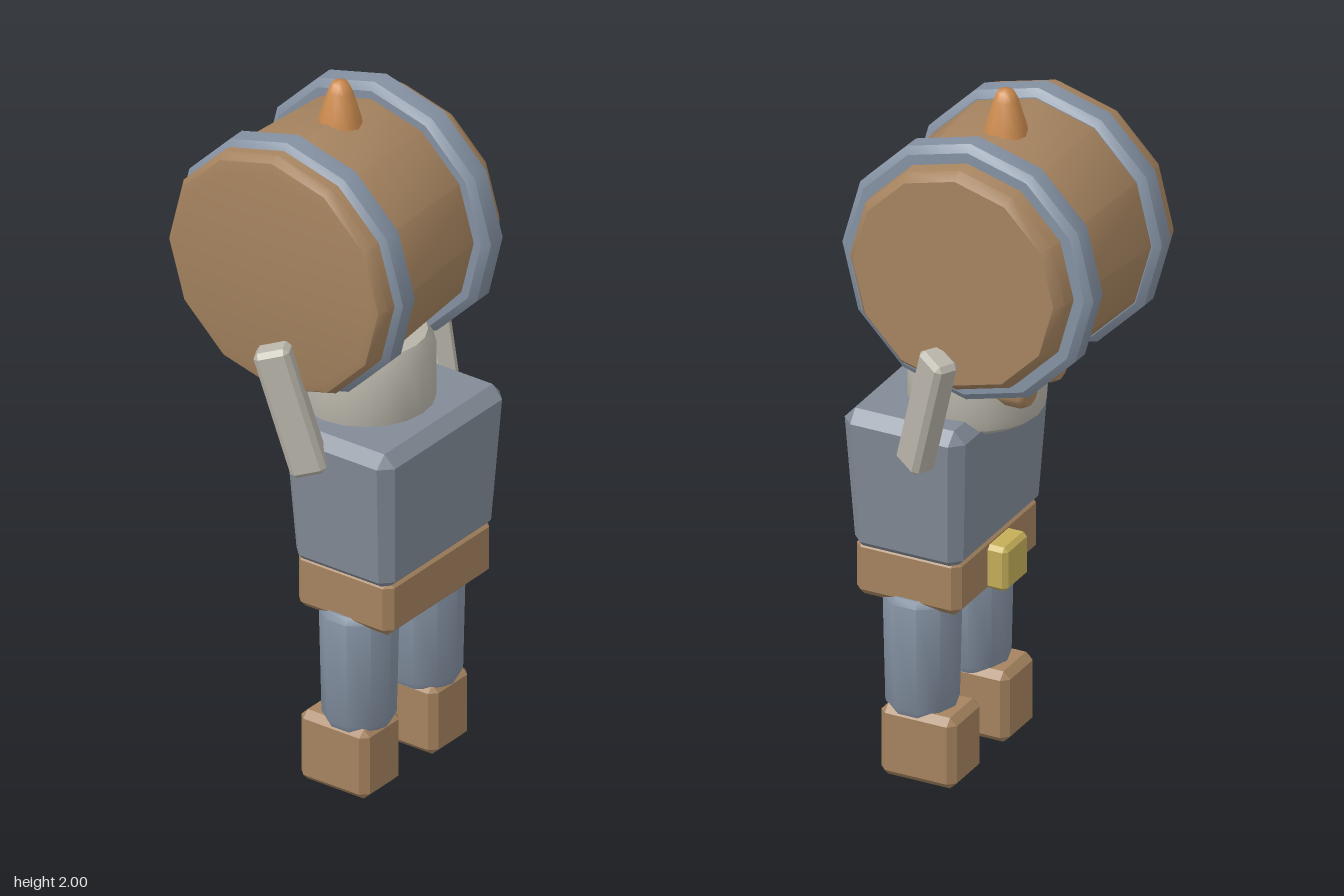
import * as THREE from 'three';
import { toCreasedNormals } from 'three/addons/utils/BufferGeometryUtils.js';
import { ConvexGeometry } from 'three/addons/geometries/ConvexGeometry.js';

const mat = (name, color) => {
  const m = new THREE.MeshStandardMaterial({ color });
  m.name = name;
  return m;
};

// Box with chamfered edges; the bottom can be narrower than the top
function block(w, h, d, b, bottom = 1) {
  const pts = [];
  for (const sx of [-1, 1]) for (const sy of [-1, 1]) for (const sz of [-1, 1]) {
    for (const [ix, iy, iz] of [[0, b, b], [b, 0, b], [b, b, 0]]) {
      const y = sy * (h / 2 - iy);
      const s = THREE.MathUtils.lerp(bottom, 1, y / h + 0.5);
      pts.push(new THREE.Vector3(sx * (w / 2 - ix) * s, y, sz * (d / 2 - iz) * s));
    }
  }
  return new ConvexGeometry(pts);
}

// Turned shape from [radius, height] pairs, smooth around and sharp at rims
function turned(profile, sides, crease = 0.6) {
  const g = new THREE.LatheGeometry(profile.map(([r, y]) => new THREE.Vector2(r, y)), sides);
  return toCreasedNormals(g, crease);
}

export function createModel() {
  const wood = mat('brown wood and leather', 0xa5835f);
  const steel = mat('blue grey steel', 0x8491a2);
  const cloth = mat('slate torso', 0x828b97);
  const pale = mat('pale grey', 0xb8b4a9);
  const copper = mat('copper', 0xcd8c50);
  const gold = mat('gold', 0xc4ae58);

  const model = new THREE.Group();
  model.name = 'barrelCarrier';
  const add = (parent, name, geo, material, x = 0, y = 0, z = 0) => {
    const m = new THREE.Mesh(geo, material);
    m.name = name;
    m.position.set(x, y, z);
    parent.add(m);
    return m;
  };

  // Tapered barrel lying sideways, slightly tilted, with two hoops
  const barrel = new THREE.Group();
  barrel.name = 'barrel';
  barrel.position.set(0, 1.548, 0);
  barrel.rotation.z = -Math.PI / 2 + 0.03;
  model.add(barrel);
  add(barrel, 'barrelBody', turned([
    [0, -0.302], [0.315, -0.302], [0.345, -0.295], [0.36, -0.27],
    [0.322, 0.275], [0.3, 0.302], [0, 0.302],
  ], 12), wood);
  for (const y of [-0.2, 0.19]) {
    add(barrel, 'barrelHoop', turned([
      [0.3, -0.042], [0.355, -0.042], [0.376, -0.026],
      [0.376, 0.026], [0.355, 0.042], [0.3, 0.042],
    ], 12), steel, 0, y, 0);
  }

  // Rounded spike on top of the barrel
  add(model, 'topSpike', turned([
    [0, 0], [0.064, 0], [0.057, 0.04], [0.034, 0.12], [0.022, 0.145], [0, 0.15],
  ], 10, 1.0), copper, 0, 1.85, 0);

  // Head and eyes, facing backwards
  add(model, 'head', turned([
    [0, 0], [0.155, 0], [0.18, 0.02], [0.187, 0.05], [0.187, 0.21], [0.165, 0.25], [0, 0.27],
  ], 20), pale, 0, 1.03, 0.085);
  for (const s of [-1, 1]) {
    const eye = add(model, 'eye', turned([
      [0, 0], [0.055, 0], [0.055, 0.075], [0.045, 0.09], [0, 0.09],
    ], 10, 0.7), wood, s * 0.085, 1.17, -0.03);
    eye.rotation.x = -Math.PI / 2;
  }

  // Torso, belt and buckle
  add(model, 'torso', block(0.55, 0.43, 0.365, 0.035, 0.88), cloth, 0, 0.867, 0.177);
  add(model, 'belt', block(0.465, 0.17, 0.315, 0.022), wood, 0, 0.603, 0.178);
  add(model, 'buckle', block(0.13, 0.13, 0.07, 0.012), gold, 0, 0.597, 0);

  for (const s of [-1, 1]) {
    // Legs
    add(model, 'leg', turned([
      [0, 0], [0.09, 0], [0.1, 0.02], [0.107, 0.33], [0.095, 0.35], [0, 0.35],
    ], 10, 0.75), steel, s * 0.147, 0.195, 0.172);

    // Boots
    add(model, 'boot', block(0.168, 0.21, 0.225, 0.02), wood, s * 0.152, 0.105, 0.146);

    // Raised arms holding the barrel ends
    const top = new THREE.Vector3(s * 0.335, 1.34, 0.025);
    const low = new THREE.Vector3(s * 0.292, 0.995, 0.118);
    const arm = add(model, 'arm', block(0.075, top.distanceTo(low) + 0.02, 0.1, 0.014), pale);
    arm.position.copy(top).add(low).multiplyScalar(0.5);
    const lean = new THREE.Quaternion().setFromUnitVectors(
      new THREE.Vector3(0, 1, 0), top.clone().sub(low).normalize());
    const turn = new THREE.Quaternion().setFromAxisAngle(new THREE.Vector3(0, 1, 0), -s * 0.48);
    arm.quaternion.copy(lean).multiply(turn);
  }
  return model;
}
